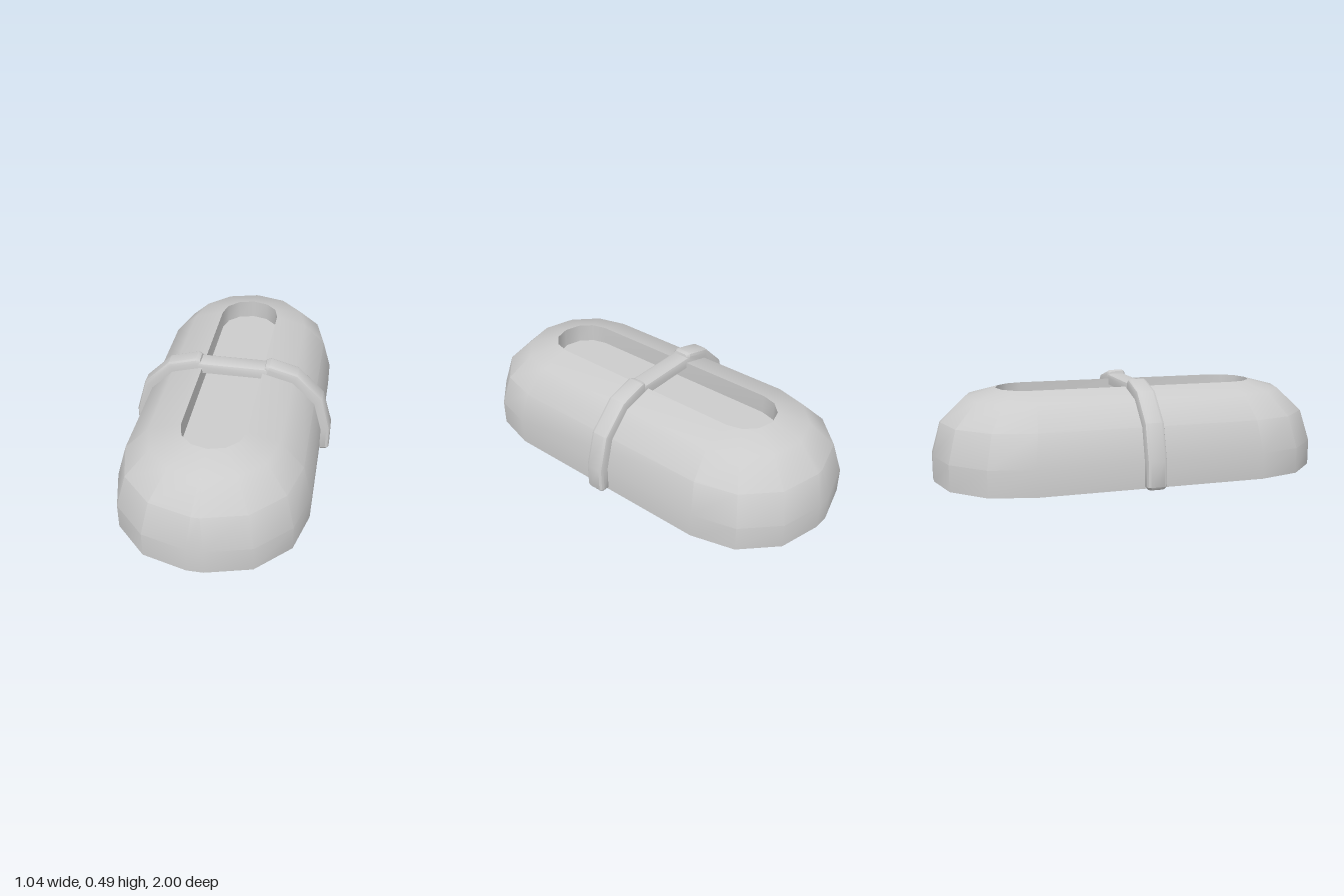
import * as THREE from 'three';
import { toCreasedNormals } from 'three/addons/utils/BufferGeometryUtils.js';

const material = new THREE.MeshStandardMaterial({ color: 0xcccccc });

// Skin a stack of closed rings and close both ends with fans.
function loft(rings, crease) {
  const pos = [];
  const tri = (...pts) => pts.forEach((p) => pos.push(p.x, p.y, p.z));
  const middle = (ring) =>
    ring.reduce((s, p) => s.add(p), new THREE.Vector3()).divideScalar(ring.length);
  const n = rings[0].length;
  const first = rings[0], last = rings[rings.length - 1];
  const start = middle(first), end = middle(last);
  for (let j = 0; j < n; j++) {
    const k = (j + 1) % n;
    tri(start, first[k], first[j]);
    tri(end, last[j], last[k]);
    for (let i = 0; i < rings.length - 1; i++) {
      tri(rings[i][j], rings[i][k], rings[i + 1][k]);
      tri(rings[i][j], rings[i + 1][k], rings[i + 1][j]);
    }
  }
  const geometry = new THREE.BufferGeometry();
  geometry.setAttribute('position', new THREE.Float32BufferAttribute(pos, 3));
  return toCreasedNormals(geometry, crease);
}

// Rounded outline at height y: corner centres at (cx, cz), three facets per corner.
function outline(y, cx, cz, r) {
  const ring = [];
  for (let q = 0; q < 4; q++) {
    const sx = q === 0 || q === 3 ? 1 : -1;
    const sz = q < 2 ? -1 : 1;
    for (let s = 0; s <= 3; s++) {
      const a = (q + s / 3) * Math.PI / 2;
      ring.push(new THREE.Vector3(sx * cx + r * Math.cos(a), y, sz * cz - r * Math.sin(a)));
    }
  }
  return ring;
}

// Sweep a strap section along a path of [x, y, scale], with mitred bends.
const strapSection = [
  [0, 0.05], [0.036, 0.05], [0.049, 0.045], [0.055, 0.033],
  [0.055, -0.033], [0.049, -0.045], [0.036, -0.05], [0, -0.05],
];
function sweep(path) {
  const normals = path.slice(1).map(([x, y], i) =>
    new THREE.Vector2(y - path[i][1], path[i][0] - x).normalize());
  const rings = path.map(([x, y, scale], i) => {
    const a = normals[Math.max(i - 1, 0)];
    const b = normals[Math.min(i, normals.length - 1)];
    const m = a.clone().add(b).normalize();
    m.divideScalar(m.dot(a));
    return strapSection.map(([out, z]) =>
      new THREE.Vector3(x + m.x * out * scale, y + m.y * out * scale, z * scale));
  });
  return loft(rings, 0.65);
}

function part(name, geometry, parent) {
  const mesh = new THREE.Mesh(geometry, material);
  mesh.name = name;
  parent.add(mesh);
  return mesh;
}

export function createModel() {
  const model = new THREE.Group();
  model.name = 'slottedShell';

  // Domed body; the last ring drops inside to form the slot floor
  part('body', loft([
    outline(0, 0.04, 0.57, 0.43),
    outline(0.13, 0.04, 0.57, 0.43),
    outline(0.29, 0.02, 0.55, 0.407),
    outline(0.405, 0.005, 0.53, 0.307),
    outline(0.447, 0.005, 0.53, 0.15),
    outline(0.35, 0.005, 0.53, 0.15),
  ], 0.56), model);

  // Strap arms hugging both flanks
  const strap = new THREE.Group();
  strap.name = 'strap';
  model.add(strap);
  const armGeometry = sweep([
    [0.463, 0, 0.8], [0.463, 0.015, 1], [0.463, 0.13, 1], [0.419, 0.287, 1],
    [0.306, 0.4, 1], [0.175, 0.436, 1], [0.157, 0.441, 0.8],
  ]);
  part('leftStrapArm', armGeometry, strap);
  part('rightStrapArm', armGeometry, strap).rotation.y = Math.PI;

  // Lower bar bridging the slot
  part('strapBridge', sweep([[0.18, 0.416, 1], [-0.18, 0.416, 1]]), strap);

  return model;
}
